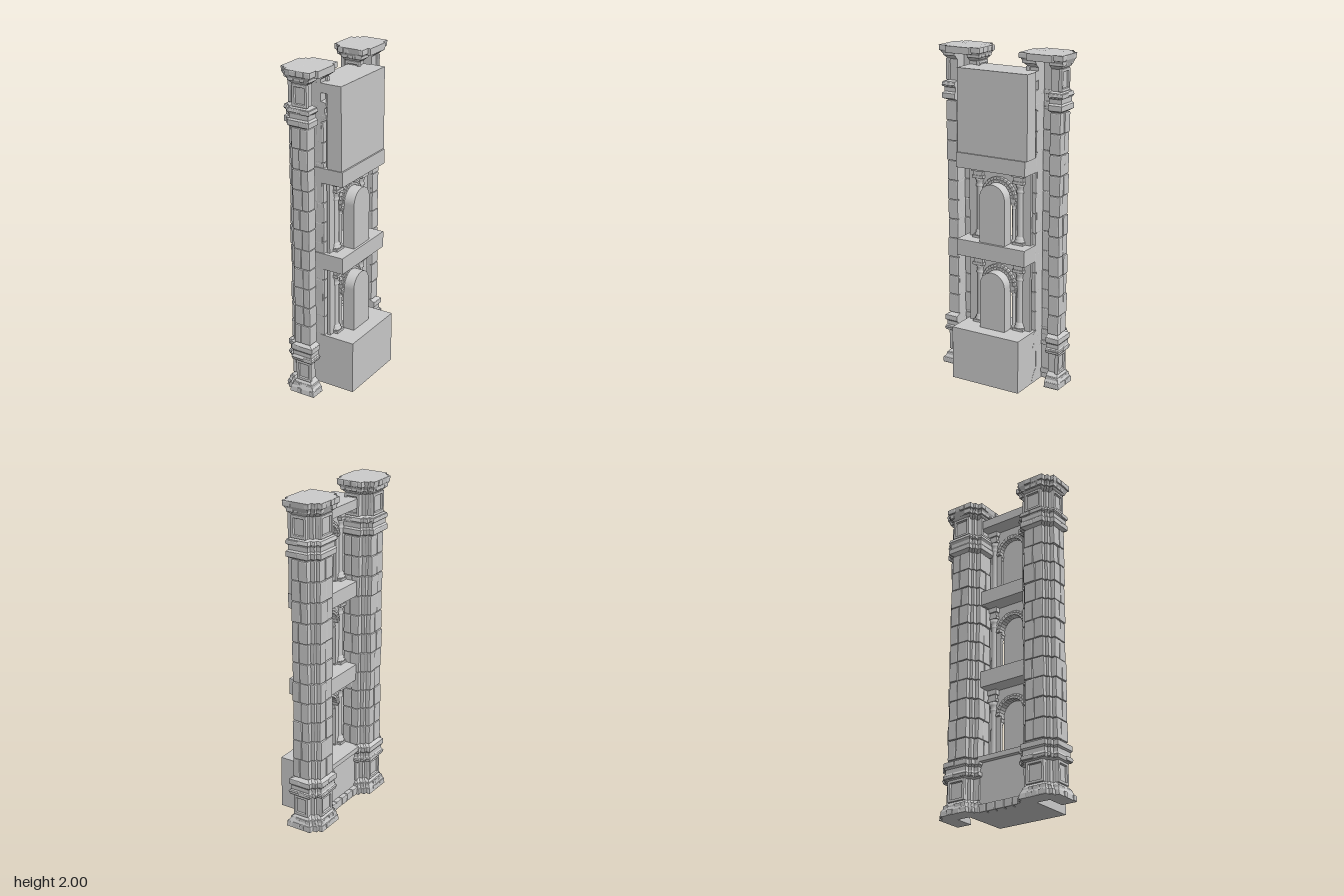
import * as THREE from 'three';
import { mergeGeometries } from 'three/addons/utils/BufferGeometryUtils.js';
import { RoundedBoxGeometry } from 'three/addons/geometries/RoundedBoxGeometry.js';

const flat = new THREE.MeshStandardMaterial({ color: 0xcccccc, flatShading: true });
const smooth = new THREE.MeshStandardMaterial({ color: 0xcccccc });

let seed = 7;
const rnd = (a = 1) => {
  seed = (seed * 16807) % 2147483647;
  return (seed / 2147483647 - 0.5) * 2 * a;
};

function add(parent, name, geometry, material = flat) {
  const mesh = new THREE.Mesh(geometry, material);
  mesh.name = name;
  parent.add(mesh);
  return mesh;
}

// Plain block given by its limits
function block(x0, x1, y0, y1, z0, z1) {
  return new THREE.BoxGeometry(x1 - x0, y1 - y0, z1 - z0)
    .translate((x0 + x1) / 2, (y0 + y1) / 2, (z0 + z1) / 2);
}

// Worn stone: chamfered block, slightly tilted
function stone(x0, x1, y0, y1, z0, z1, wobble = 0.03) {
  const size = [x1 - x0, y1 - y0, z1 - z0];
  return new RoundedBoxGeometry(...size, 1, Math.min(0.006, Math.min(...size) * 0.3))
    .rotateY(rnd(wobble)).rotateX(rnd(wobble * 0.5))
    .translate((x0 + x1) / 2, (y0 + y1) / 2, (z0 + z1) / 2);
}

// Stepped pier plan, grown outward by d, with a deep slot in its inner (+x) side
function outline(d) {
  const half = [
    [-0.09, 0.042], [-0.006 + 1.4 * d, 0.042], [-0.006 + 1.4 * d, 0.113 + d],
    [-0.112 - d, 0.113 + d], [-0.112 - d, 0.085 + d], [-0.138 - d, 0.085 + d],
    [-0.138 - d, 0.065 + d], [-0.165 - d, 0.065 + d],
  ];
  return [...half, ...half.map(([x, s]) => [x, -s]).reverse()]
    .map(([x, s]) => new THREE.Vector2(x, s));
}

// Pier body: plan outlines stacked along a profile of [y, growth]
function loft(profile) {
  const pos = [], idx = [];
  const n = outline(0).length;
  profile.forEach(([y, d]) => outline(d).forEach((p) => pos.push(p.x, y, -p.y)));
  for (let k = 0; k < profile.length - 1; k++) {
    for (let i = 0; i < n; i++) {
      const a = k * n + i, b = k * n + (i + 1) % n;
      idx.push(a, b, b + n, a, b + n, a + n);
    }
  }
  const top = (profile.length - 1) * n;
  THREE.ShapeUtils.triangulateShape(outline(0), []).forEach(([a, b, c]) => {
    idx.push(top + a, top + b, top + c, a, c, b);
  });
  const g = new THREE.BufferGeometry();
  g.setAttribute('position', new THREE.Float32BufferAttribute(pos, 3));
  g.setIndex(idx);
  const out = g.toNonIndexed();
  out.computeVertexNormals();
  return out;
}

// One course of masonry round the pier, grown by d, with n stones per face
function course(y0, y1, d, n, rough) {
  const out = [], e = () => d + rnd(rough);
  const cuts = (a, b) => Array.from({ length: n + 1 }, (_, i) =>
    a + (b - a) * i / n + (i % n ? rnd(0.012) : 0));
  for (const s of [1, -1]) {
    const side = (x0, x1, a, b) =>
      out.push(stone(x0, x1, y0, y1, Math.min(a * s, b * s), Math.max(a * s, b * s)));
    const xs = cuts(-0.112 - d, -0.006 + 1.4 * d);
    for (let i = 0; i < n; i++) side(xs[i], xs[i + 1], 0.042, 0.113 + e());
    side(-0.138 - e(), -0.09, 0.042, 0.085 + e());
  }
  const zs = cuts(-0.065 - d, 0.065 + d);
  for (let i = 0; i < n; i++) out.push(stone(-0.165 - e(), -0.1, y0, y1, zs[i], zs[i + 1]));
  out.push(stone(-0.11, -0.084 + rnd(0.004), y0, y1, -0.045, 0.045));
  return out;
}

// Raised square frames on the three outer faces of a pedestal
function panelFrames(y0, y1) {
  const out = [], t = 0.018;
  const bars = (w, make) => {
    make(-w, w, y0, y0 + t);
    make(-w, w, y1 - t, y1);
    make(-w, -w + t, y0, y1);
    make(w - t, w, y0, y1);
  };
  for (const s of [1, -1]) {
    bars(0.05, (a, b, c, d) =>
      out.push(stone(-0.056 + a, -0.056 + b, c, d, s * 0.105 - 0.012, s * 0.105 + 0.012, 0)));
  }
  bars(0.06, (a, b, c, d) => out.push(stone(-0.169, -0.145, c, d, a, b, 0)));
  return out;
}

function makePier() {
  const pier = new THREE.Group();
  const foot = [
    [0, 0.026], [0.03, 0.022], [0.07, 0.004], [0.085, -0.01], [0.21, -0.01], [0.215, 0.012],
    [0.235, 0.018], [0.25, 0.008], [0.275, 0.008], [0.285, 0.016], [0.315, 0.016], [0.33, -0.008],
  ];
  const head = foot.map(([y, d]) => [2 - y, d]).reverse();
  add(pier, 'pierBody', loft([...foot, ...head]));
  add(pier, 'capSlab', block(-0.125, 0.048, 1.96, 2, -0.082, 0.082));

  // Shaft masonry in uneven courses
  const stones = [];
  const rows = 11, y0 = 0.33, h = 1.34 / rows;
  for (let r = 0; r < rows; r++) {
    stones.push(...course(y0 + r * h + 0.001, y0 + (r + 1) * h - 0.001, 0.001, 2, 0.004));
  }
  add(pier, 'shaftStones', mergeGeometries(stones));

  // Splayed stones of foot and cap, and moulding stones
  const trim = [];
  for (const flip of [false, true]) {
    const band = (a, b, d, n) => trim.push(...course(flip ? 2 - b : a, flip ? 2 - a : b, d, n, 0.005));
    band(0, 0.034, 0.026, 4);
    band(0.032, 0.064, 0.014, 4);
    band(0.218, 0.245, 0.016, 2);
    band(0.285, 0.318, 0.016, 2);
  }
  add(pier, 'trimStones', mergeGeometries(trim));
  add(pier, 'pedestalPanels', mergeGeometries([...panelFrames(0.08, 0.21), ...panelFrames(1.79, 1.92)]));
  return pier;
}

// Turned column of given height and shaft radius
function column(height, r) {
  const k = r / 0.022;
  const pts = [
    [0, 0.012], [1.6, 0.012], [1.65, 0.022], [1.3, 0.028], [1.4, 0.036], [1.1, 0.044], [1, 0.05],
  ].map(([a, y]) => new THREE.Vector2(a * r, y * k));
  for (const [a, y] of [[0.95, 0.13], [1.2, 0.126], [1.2, 0.115], [1, 0.11], [1.15, 0.09], [1.6, 0.07], [0, 0.07]]) {
    pts.push(new THREE.Vector2(a * r, height - y * k));
  }
  const slab = (w, a, b) => block(-w * r, w * r, a, b, -w * r, w * r);
  return mergeGeometries([
    new THREE.LatheGeometry(pts, 14),
    slab(1.65, 0, 0.014 * k),
    slab(1.65, height - 0.072 * k, height - 0.055 * k),
    slab(1.4, height - 0.055 * k, height - 0.03 * k),
    slab(1.8, height - 0.03 * k, height),
  ]);
}

function archPath(path, r, spring) {
  path.moveTo(-r, 0);
  path.lineTo(r, 0);
  path.lineTo(r, spring);
  path.absarc(0, spring, r, 0, Math.PI, false);
  path.lineTo(-r, 0);
  return path;
}

function extrudeX(shape, x0, x1) {
  return new THREE.ExtrudeGeometry(shape, { depth: x1 - x0, bevelEnabled: false, curveSegments: 16 })
    .rotateY(Math.PI / 2).translate(x0, 0, 0);
}

// Storey: arched niche with voussoirs and flanking columns
function makeStorey(height) {
  const storey = new THREE.Group();
  const spring = 0.275, r = 0.085, w = 0.21;
  add(storey, 'nicheFill', extrudeX(archPath(new THREE.Shape(), r, spring), 0.035, 0.11));

  const wall = new THREE.Shape();
  wall.moveTo(-w, 0).lineTo(-r, 0).lineTo(-r, spring);
  wall.absarc(0, spring, r, Math.PI, 0, true);
  wall.lineTo(r, 0).lineTo(w, 0).lineTo(w, height).lineTo(-w, height);
  add(storey, 'archWall', extrudeX(wall, 0.004, 0.022));

  const arch = [];
  const count = 15;
  for (let i = 0; i < count; i++) {
    const a = (i + 0.5) / count * Math.PI;
    arch.push(
      stone(-0.012, 0.046, -0.011, 0.011, 0.083, 0.1, 0).rotateX(-a).translate(0, spring, 0),
      stone(-0.006, 0.04, -0.0125, 0.0125, 0.098, 0.117, 0).rotateX(-a).translate(0, spring, 0));
  }
  add(storey, 'archStones', mergeGeometries(arch));

  for (const s of [1, -1]) {
    add(storey, 'column', column(height, 0.022), smooth).position.set(0.014, 0, s * 0.138);
    add(storey, 'archColumn', column(spring, 0.011), smooth).position.set(0.024, 0, s * 0.099);
  }
  return storey;
}

export function createModel() {
  seed = 7;
  const model = new THREE.Group();
  model.name = 'towerFacade';

  // Mirrored corner piers
  for (const s of [1, -1]) {
    const pier = makePier();
    pier.name = s > 0 ? 'frontPier' : 'backPier';
    pier.position.z = s * 0.271;
    pier.scale.z = s;
    model.add(pier);
  }

  // Base, floors and solid top
  add(model, 'baseBlock', block(-0.095, 0.193, 0, 0.33, -0.228, 0.23));
  add(model, 'baseLedge', block(-0.125, -0.09, 0.3, 0.33, -0.15, 0.15));
  add(model, 'middleFloor', block(-0.095, 0.125, 0.77, 0.87, -0.228, 0.235));
  add(model, 'upperFloor', block(-0.095, 0.125, 1.31, 1.4, -0.228, 0.235));
  add(model, 'topBlock', block(0.022, 0.115, 1.4, 1.895, -0.237, 0.23));
  add(model, 'topFloor', block(-0.095, 0.03, 1.84, 1.895, -0.228, 0.23));

  // Row of foot stones along the base
  const plinth = [];
  for (let i = 0; i < 5; i++) {
    const z = -0.15 + i * 0.06;
    plinth.push(stone(-0.122 + rnd(0.003), -0.08, 0, 0.05, z + 0.001, z + 0.059));
  }
  add(model, 'plinthStones', mergeGeometries(plinth));

  [0.33, 0.87, 1.4].forEach((y, i) => {
    const storey = makeStorey(0.44);
    storey.name = ['lowerStorey', 'middleStorey', 'upperStorey'][i];
    storey.position.y = y;
    model.add(storey);
  });
  return model;
}
